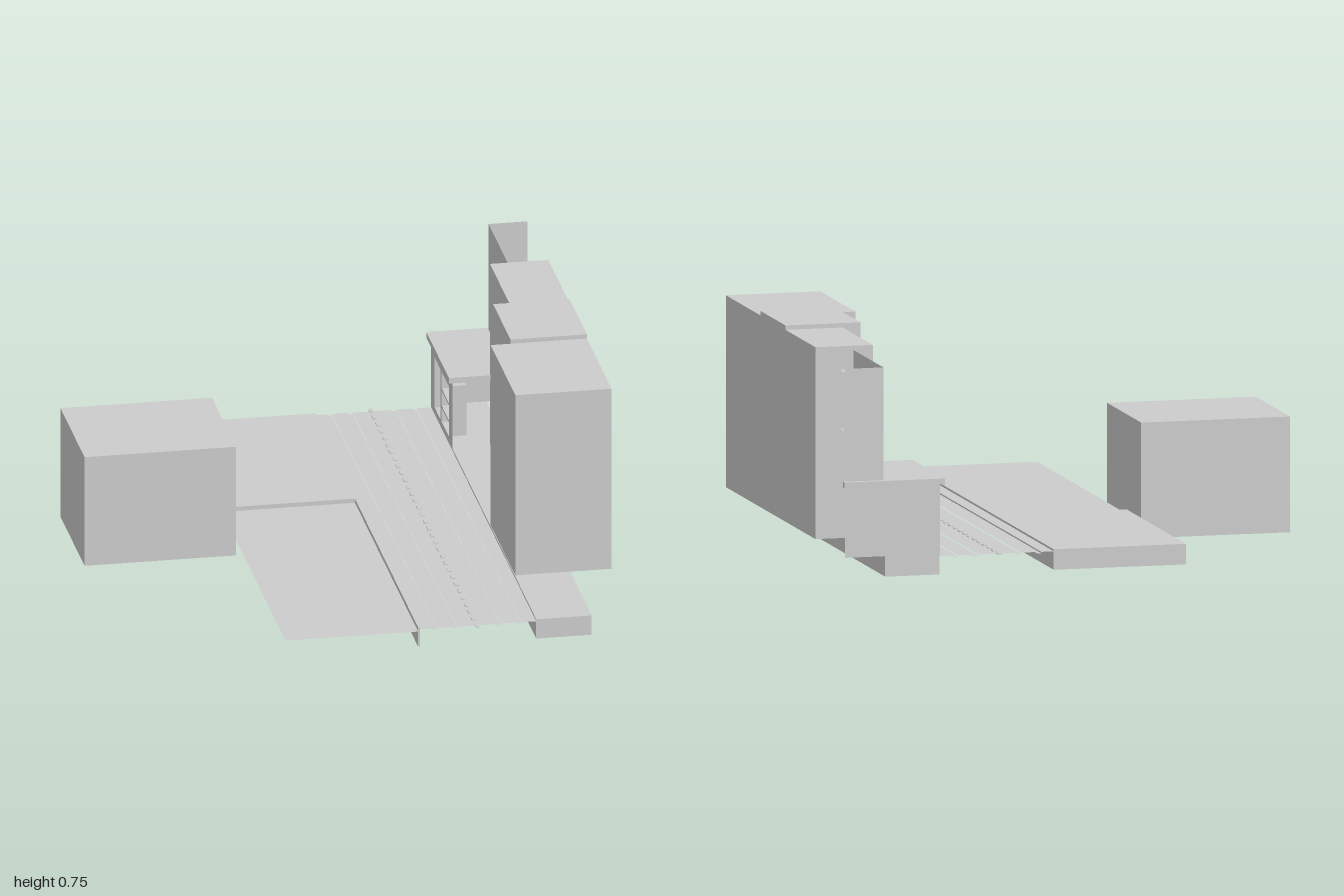
import * as THREE from 'three';

const material = new THREE.MeshStandardMaterial({ color: 0xcccccc, flatShading: true, side: THREE.DoubleSide });

export function createModel() {
  const model = new THREE.Group();

  const add = (name, geometry, parent = model) => {
    const mesh = new THREE.Mesh(geometry, material);
    mesh.name = name;
    parent.add(mesh);
    return mesh;
  };

  // box from its limits along each axis
  const box = (name, x0, x1, y0, y1, z0, z1, parent) =>
    add(name, new THREE.BoxGeometry(x1 - x0, y1 - y0, z1 - z0)
      .translate((x0 + x1) / 2, (y0 + y1) / 2, (z0 + z1) / 2), parent);

  // thin horizontal sheet
  const sheet = (name, x0, x1, y, z0, z1, parent) =>
    add(name, new THREE.PlaneGeometry(x1 - x0, z1 - z0).rotateX(-Math.PI / 2)
      .translate((x0 + x1) / 2, y, (z0 + z1) / 2), parent);

  // thin wall across x, with rectangular openings [z0, z1, y0, y1]
  const rect = (path, z0, z1, y0, y1) =>
    path.moveTo(z0, y0).lineTo(z1, y0).lineTo(z1, y1).lineTo(z0, y1).closePath();
  const sideWall = (name, x, z0, z1, y0, y1, openings, parent) => {
    const shape = rect(new THREE.Shape(), z0, z1, y0, y1);
    for (const o of openings) shape.holes.push(rect(new THREE.Path(), ...o));
    return add(name, new THREE.ShapeGeometry(shape).rotateY(-Math.PI / 2).translate(x, 0, 0), parent);
  };

  // open box lining an opening from x0 to x1
  const reveal = (name, x0, x1, [z0, z1, y0, y1], parent) => {
    for (const y of [y0, y1]) sheet(name, x0, x1, y, z0, z1, parent);
    for (const z of [z0, z1])
      add(name, new THREE.PlaneGeometry(x1 - x0, y1 - y0)
        .translate((x0 + x1) / 2, (y0 + y1) / 2, z), parent);
  };

  // pavements and open ground beside the road
  box('rightPavement', 0.52, 0.71, 0, 0.07, -0.98, 0.98);
  box('leftPavement', -0.34, 0.115, 0, 0.07, -0.98, -0.2);
  sheet('openGround', -0.34, 0.115, 0.055, -0.2, 0.98);
  box('kerb', 0.115, 0.122, 0, 0.07, -0.98, 0.98);

  // road of long strips at slightly different levels
  const road = new THREE.Group();
  road.name = 'road';
  model.add(road);
  const edges = [0.122, 0.165, 0.18, 0.235, 0.25, 0.385, 0.4, 0.455, 0.47, 0.52];
  for (let i = 0; i < edges.length - 1; i++)
    sheet('roadStrip', edges[i], edges[i + 1], i % 2 ? 0.058 : 0.063, -0.98, 0.98, road);
  const dashes = 32;
  for (let i = 0; i < dashes; i++) {
    const z = -1 + (i * 1.97) / (dashes - 1);
    box('centreDash', 0.308, 0.321, 0.063, 0.066, z, z + 0.03, road);
  }

  // block building on the left side
  box('blockBuilding', -0.86, -0.34, 0, 0.395, -0.39, 0.06);

  // stepped row of tall buildings
  box('frontTallBuilding', 0.52, 0.85, 0.075, 0.73, 0.13, 0.59);
  box('middleTallBuilding', 0.588, 0.85, 0.075, 0.745, -0.195, 0.13);
  box('rearTallBuilding', 0.65, 0.85, 0.075, 0.73, -0.59, -0.195);

  // corner shop: pierced front, set-back upper wall and rear wall
  const shop = new THREE.Group();
  shop.name = 'cornerShop';
  model.add(shop);
  const door = [-0.915, -0.81, 0.088, 0.27];
  const display = [-0.785, -0.65, 0.088, 0.27];
  const upperWindow = [-0.715, -0.655, 0.46, 0.66];
  sideWall('shopFront', 0.52, -0.98, -0.585, 0.07, 0.31, [door, display], shop);
  sideWall('upperWall', 0.717, -0.98, -0.59, 0.33, 0.715, [upperWindow], shop);
  reveal('doorReveal', 0.52, 0.58, door, shop);
  reveal('displayReveal', 0.52, 0.58, display, shop);
  reveal('windowReveal', 0.717, 0.783, upperWindow, shop);
  for (const y of [0.143, 0.205])
    box('displayShelf', 0.52, 0.58, y - 0.004, y + 0.004, display[0], display[1], shop);
  add('rearLowerWall', new THREE.PlaneGeometry(0.33, 0.25).translate(0.685, 0.195, -0.981), shop);
  add('rearUpperWall', new THREE.PlaneGeometry(0.133, 0.395).translate(0.7835, 0.5175, -0.981), shop);
  box('shopRoof', 0.507, 0.717, 0.31, 0.33, -0.981, -0.577, shop);
  box('rearCornice', 0.507, 0.857, 0.31, 0.33, -1, -0.981, shop);

  return model;
}
